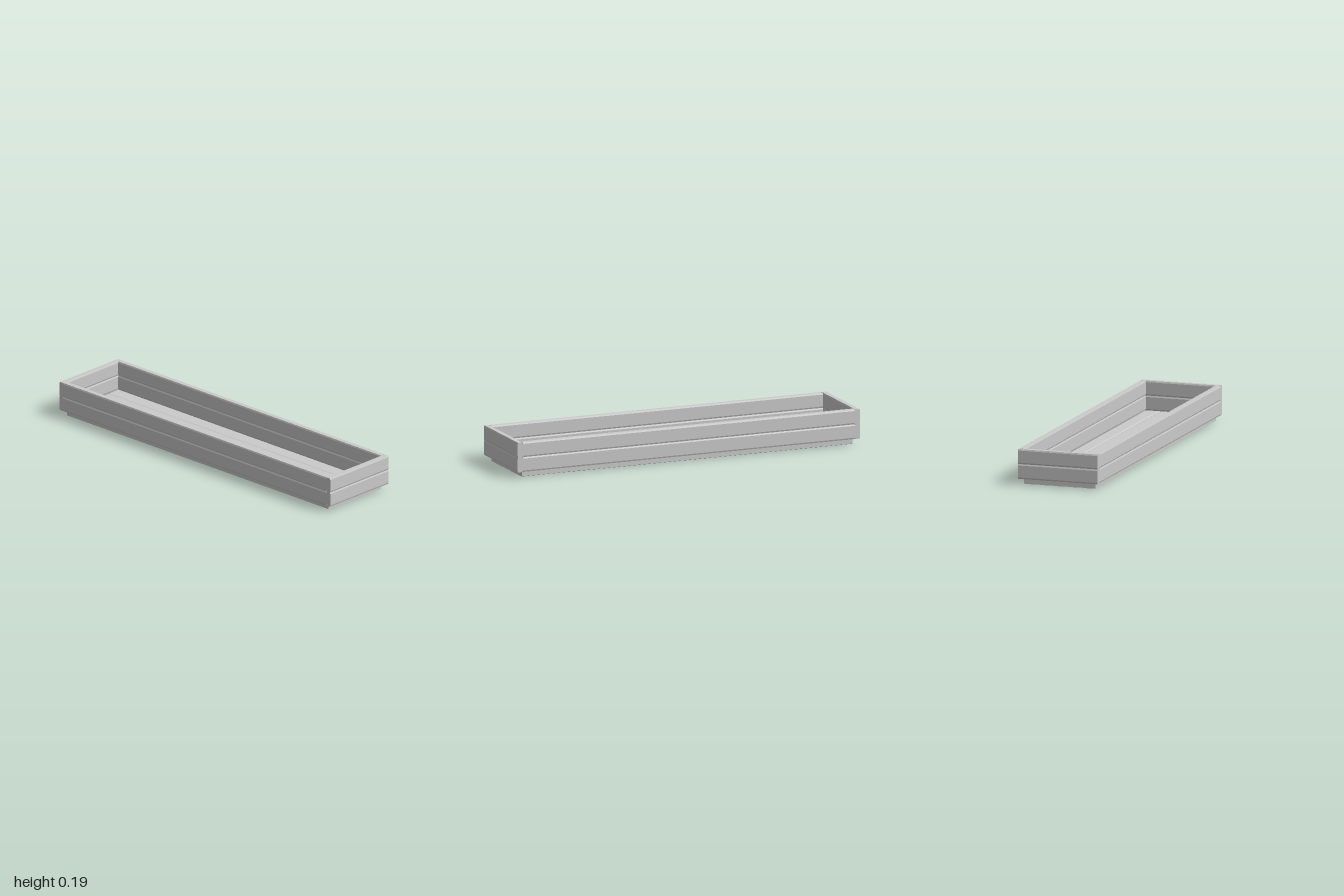
import * as THREE from 'three';

const material = new THREE.MeshStandardMaterial({ color: 0xcccccc, flatShading: true });

// Plank with long edges bevelled: thickness along x, width along y, length along z
function plank(name, thickness, width, length) {
  const t = thickness / 2, w = width / 2, ct = 0.003, cw = 0.008;
  const section = new THREE.Shape([
    [-t + ct, -w], [t - ct, -w], [t, -w + cw], [t, w - cw],
    [t - ct, w], [-t + ct, w], [-t, w - cw], [-t, -w + cw],
  ].map(([x, y]) => new THREE.Vector2(x, y)));
  const geometry = new THREE.ExtrudeGeometry(section, { depth: length, bevelEnabled: false });
  geometry.translate(0, 0, -length / 2);
  const mesh = new THREE.Mesh(geometry, material);
  mesh.name = name;
  return mesh;
}

export function createModel() {
  const model = new THREE.Group();
  model.name = 'plankTray';
  const boardWidth = 0.0813, floorHeight = 0.032, wall = 0.031;

  // Floor: five planks side by side
  for (let i = -2; i <= 2; i++) {
    const board = plank('floorPlank', floorHeight, boardWidth, 1.93);
    board.geometry.rotateZ(Math.PI / 2).rotateY(Math.PI / 2);
    board.position.set(0, floorHeight / 2, i * boardWidth);
    model.add(board);
  }

  // Walls: two courses of boards on each side
  for (let course = 0; course < 2; course++) {
    const y = floorHeight + (course + 0.5) * boardWidth;
    for (const side of [-1, 1]) {
      const long = plank(side > 0 ? 'frontBoard' : 'backBoard', wall, boardWidth, 1.938);
      long.geometry.rotateY(Math.PI / 2);
      long.position.set(0, y, side * (0.228 - wall / 2));
      const end = plank(side > 0 ? 'leftEndBoard' : 'rightEndBoard', wall, boardWidth, 0.452);
      end.position.set(side * (1 - wall / 2), y, 0);
      model.add(long, end);
    }
  }
  return model;
}
